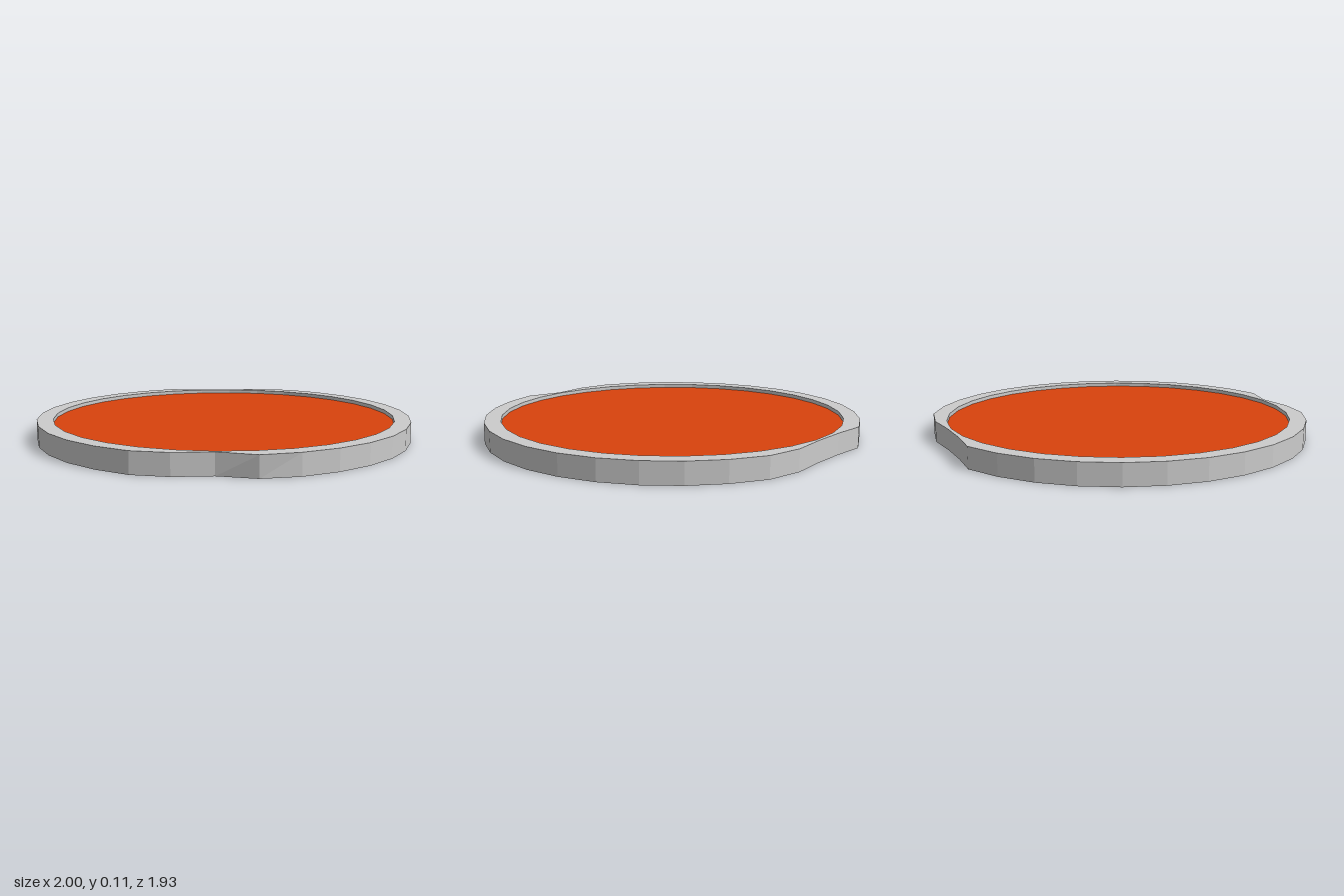
import * as THREE from 'three';
import { mergeGeometries } from 'three/addons/utils/BufferGeometryUtils.js';

const SIDES = 32, HEIGHT = 0.11, FLOOR = 0.09, CENTRE_Z = -0.014;

// Loop of [x, z] points, starting at the front and running through +x.
function ring(radius, dents = {}) {
  return Array.from({ length: SIDES }, (_, i) => {
    const a = (i / SIDES) * Math.PI * 2;
    return [radius * Math.sin(a), dents[i] ?? radius * Math.cos(a) + CENTRE_Z];
  });
}

// Horizontal face, looking up or down, with an optional hole.
function flatFace(points, y, up, hole) {
  const s = up ? -1 : 1;
  const toPoints = (loop) => loop.map(([x, z]) => new THREE.Vector2(x, s * z));
  const shape = new THREE.Shape(toPoints(points));
  if (hole) shape.holes.push(new THREE.Path(toPoints(hole)));
  return new THREE.ShapeGeometry(shape).rotateX(s * Math.PI / 2).translate(0, y, 0).toNonIndexed();
}

// Faceted wall joining a lower loop to an upper loop.
function wall(lower, upper, y0, y1) {
  const pos = [], uv = [];
  lower.forEach((p, i) => {
    const j = (i + 1) % lower.length;
    const a = [p[0], y0, p[1]], b = [lower[j][0], y0, lower[j][1]];
    const c = [upper[j][0], y1, upper[j][1]], d = [upper[i][0], y1, upper[i][1]];
    pos.push(...a, ...b, ...c, ...a, ...c, ...d);
    uv.push(0, 0, 1, 0, 1, 1, 0, 0, 1, 1, 0, 1);
  });
  const g = new THREE.BufferGeometry();
  g.setAttribute('position', new THREE.Float32BufferAttribute(pos, 3));
  g.setAttribute('uv', new THREE.Float32BufferAttribute(uv, 2));
  g.computeVertexNormals();
  return g;
}

export function createModel() {
  const group = new THREE.Group();

  // Round dish with dents in the front and back edges
  const dents = { 0: 0.917, 31: 0.939, 15: -0.967, 16: -0.945, 17: -0.935 };
  const top = ring(1, dents);
  const bottom = ring(1, { ...dents, 1: 0.956 });
  const inner = ring(0.914);
  const inward = [...inner].reverse();

  const dish = new THREE.Mesh(
    mergeGeometries([
      flatFace(top, HEIGHT, true, inner),
      flatFace(bottom, 0, false),
      wall(bottom, top, 0, HEIGHT),
      wall(inward, inward, FLOOR, HEIGHT),
    ]),
    new THREE.MeshStandardMaterial({ color: 0xcccccc, flatShading: true })
  );
  dish.name = 'dish';

  // Coloured disc sunk just below the rim
  const filling = new THREE.Mesh(
    flatFace(inner, FLOOR, true),
    new THREE.MeshStandardMaterial({ color: 0xd9430d, flatShading: true })
  );
  filling.name = 'filling';

  group.add(dish, filling);
  return group;
}
